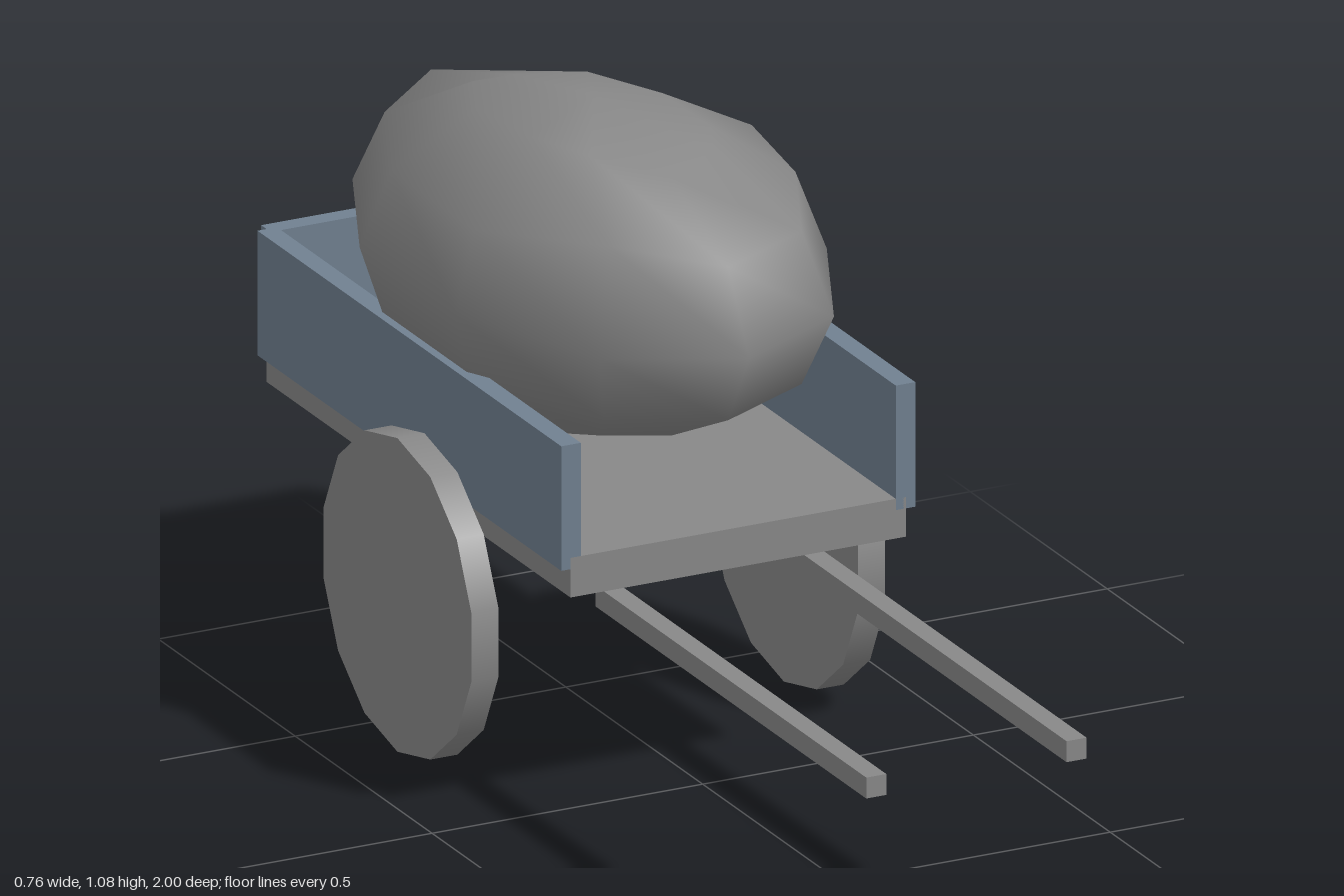
import * as THREE from 'three';
import { mergeVertices } from 'three/addons/utils/BufferGeometryUtils.js';

const greyMaterial = new THREE.MeshStandardMaterial({ color: 0x888888 });
greyMaterial.name = 'grey';
const slateMaterial = new THREE.MeshStandardMaterial({ color: 0x708090 });
slateMaterial.name = 'slateBlue';

// Box given by its minimum and maximum corners
function box(name, material, min, max) {
  const size = max.map((v, i) => v - min[i]);
  const mesh = new THREE.Mesh(new THREE.BoxGeometry(...size), material);
  mesh.position.set(...max.map((v, i) => (v + min[i]) / 2));
  mesh.name = name;
  return mesh;
}

// Lumpy sack: a coarse ellipsoid with a few vertices pushed about
function sackGeometry() {
  const columns = 10;
  const geometry = new THREE.SphereGeometry(1, columns, 6);
  geometry.rotateY(Math.PI / 2);
  geometry.scale(0.36, 0.27, 0.57);
  // row from the top, column from +z towards +x, then the offset
  const lumps = [
    [1, 0, 0, -0.012, 0], [1, 2, 0, -0.018, 0], [1, 3, 0, -0.02, 0],
    [1, 4, 0, -0.02, 0], [1, 5, 0, -0.025, 0], [1, 7, 0, 0.012, 0],
    [1, 8, 0.01, 0.021, 0], [1, 9, 0, 0.015, -0.03],
    [2, 3, 0.033, 0, 0.08], [2, 5, -0.06, 0.028, 0.02], [2, 9, 0.01, 0.035, 0],
    [3, 4, -0.03, 0, 0.04], [3, 9, -0.01, 0, 0],
    [4, 2, -0.03, 0.005, 0], [4, 3, -0.03, 0.005, 0],
    [4, 7, -0.013, 0.015, 0], [4, 8, -0.013, 0.015, 0],
    [5, 2, -0.015, -0.012, 0], [5, 3, -0.015, -0.012, 0],
    [5, 7, -0.02, -0.025, 0], [5, 8, -0.02, -0.025, 0],
  ];
  const p = geometry.attributes.position;
  for (const [row, column, dx, dy, dz] of lumps) {
    const start = row * (columns + 1);
    const ids = column === 0 ? [start, start + columns] : [start + column];
    for (const i of ids) p.setXYZ(i, p.getX(i) + dx, p.getY(i) + dy, p.getZ(i) + dz);
  }
  geometry.deleteAttribute('uv');
  geometry.deleteAttribute('normal');
  const merged = mergeVertices(geometry, 1e-4);
  merged.computeVertexNormals();
  return merged;
}

export function createModel() {
  const cart = new THREE.Group();
  cart.name = 'handcart';

  // Bed and tailboard
  cart.add(box('bed', greyMaterial, [-0.31, 0.43, -0.98], [0.31, 0.5, 0.13]));
  cart.add(box('backBoard', slateMaterial, [-0.31, 0.48, -1], [0.31, 0.7, -0.965]));

  // Mirrored sides, handles and wheels
  const wheelGeometry = new THREE.CylinderGeometry(0.277, 0.277, 0.05, 14);
  wheelGeometry.rotateX(Math.PI / 2); // turns a corner to the bottom and the top
  wheelGeometry.rotateY(Math.PI / 2);
  for (const [side, s] of [['left', 1], ['right', -1]]) {
    const mirrored = (name, material, cx, w, y0, y1, z0, z1) =>
      box(side + name, material, [s * cx - w / 2, y0, z0], [s * cx + w / 2, y1, z1]);
    cart.add(mirrored('SideBoard', slateMaterial, 0.309, 0.036, 0.48, 0.7, -0.98, 0.13));
    cart.add(mirrored('Handle', greyMaterial, 0.185, 0.037, 0.355, 0.392, 0.01, 1));

    const wheel = new THREE.Mesh(wheelGeometry, greyMaterial);
    wheel.name = side + 'Wheel';
    wheel.position.set(s * 0.357, 0.279, -0.36);
    cart.add(wheel);
  }

  // Load
  const sack = new THREE.Mesh(sackGeometry(), greyMaterial);
  sack.name = 'sack';
  sack.position.set(0, 0.812, -0.4);
  cart.add(sack);

  return cart;
}
